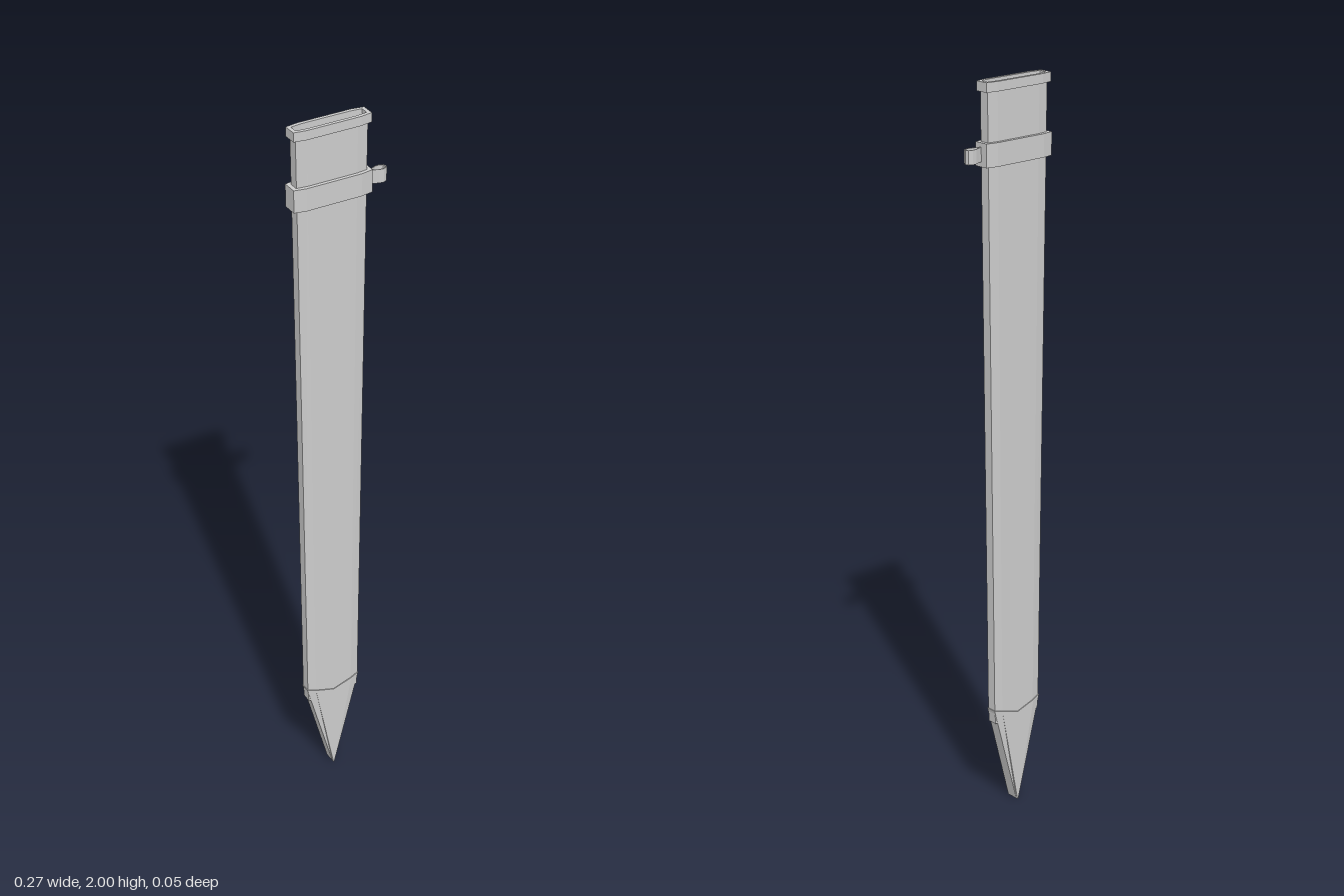
import * as THREE from 'three';

const CX = -0.027; // centre line of the sheath
const material = new THREE.MeshStandardMaterial({ color: 0xcccccc, flatShading: true, side: THREE.DoubleSide });

// Flat cross-section with chamfered long edges; drop lowers its middle into a V
function section(y, hw, d, drop = 0) {
  const f = hw * 0.7, e = d * 0.77;
  const half = [[hw, e], [f, d], [0, d], [-f, d], [-hw, e]];
  return [...half, ...half.map(([x, z]) => [-x, -z])].map(([x, z]) =>
    new THREE.Vector3(CX + x, y - drop * (1 - Math.abs(x) / Math.max(hw, 1e-6)), z));
}

// Skin between consecutive sections
function loft(name, rings) {
  const points = [];
  for (let r = 0; r < rings.length - 1; r++) {
    const a = rings[r], b = rings[r + 1];
    for (let i = 0; i < a.length; i++) {
      const j = (i + 1) % a.length;
      points.push(a[i], b[i], a[j], a[j], b[i], b[j]);
    }
  }
  const geometry = new THREE.BufferGeometry().setFromPoints(points);
  geometry.computeVertexNormals();
  const mesh = new THREE.Mesh(geometry, material);
  mesh.name = name;
  return mesh;
}

// Closed band around the sheath
function band(name, y0, y1, hw, d, innerHw, innerD) {
  return loft(name, [
    section(y0, innerHw, innerD), section(y0, hw, d), section(y1, hw, d),
    section(y1, innerHw, innerD), section(y0, innerHw, innerD),
  ]);
}

export function createModel() {
  const group = new THREE.Group();

  // Long tapering sheath, hollow down to the point
  group.add(loft('sheathBody', [
    section(0.25, 0.076, 0.017), section(0.29, 0.079, 0.017), section(1.99, 0.1, 0.0175),
    section(1.99, 0.098, 0.0145), section(0.29, 0.077, 0.0145), section(0.04, 0.003, 0.0145),
  ]));

  // Pointed end cap with a V-shaped upper edge
  group.add(loft('endCap', [
    section(0, 0.001, 0.0005), section(0, 0.002, 0.019),
    section(0.29, 0.081, 0.019, 0.025), section(0.29, 0.078, 0.0165, 0.025),
  ]));

  // Mouth rim and carrying strap
  group.add(band('mouthRim', 1.975, 2, 0.108, 0.024, 0.098, 0.0145));
  group.add(band('strap', 1.787, 1.848, 0.11, 0.027, 0.099, 0.0165));

  // Teardrop hanging loop on the side of the strap
  const outline = [[0.08, 0], [0.094, 0.005], [0.107, 0.011], [0.12, 0.0125], [0.131, 0.008], [0.1335, 0],
    [0.131, -0.008], [0.12, -0.0125], [0.107, -0.011], [0.094, -0.005]].map(([x, z]) => new THREE.Vector2(x, z));
  const shape = new THREE.Shape(outline);
  const hole = outline.map(p => new THREE.Vector2(0.112 + (p.x - 0.112) * 0.88, p.y * 0.82));
  shape.holes.push(new THREE.Path(hole));
  const geometry = new THREE.ExtrudeGeometry(shape, { depth: 0.037, bevelEnabled: false });
  geometry.rotateX(-Math.PI / 2).translate(0, 1.8, 0);
  const loop = new THREE.Mesh(geometry, material);
  loop.name = 'hangingLoop';
  group.add(loop);

  return group;
}
